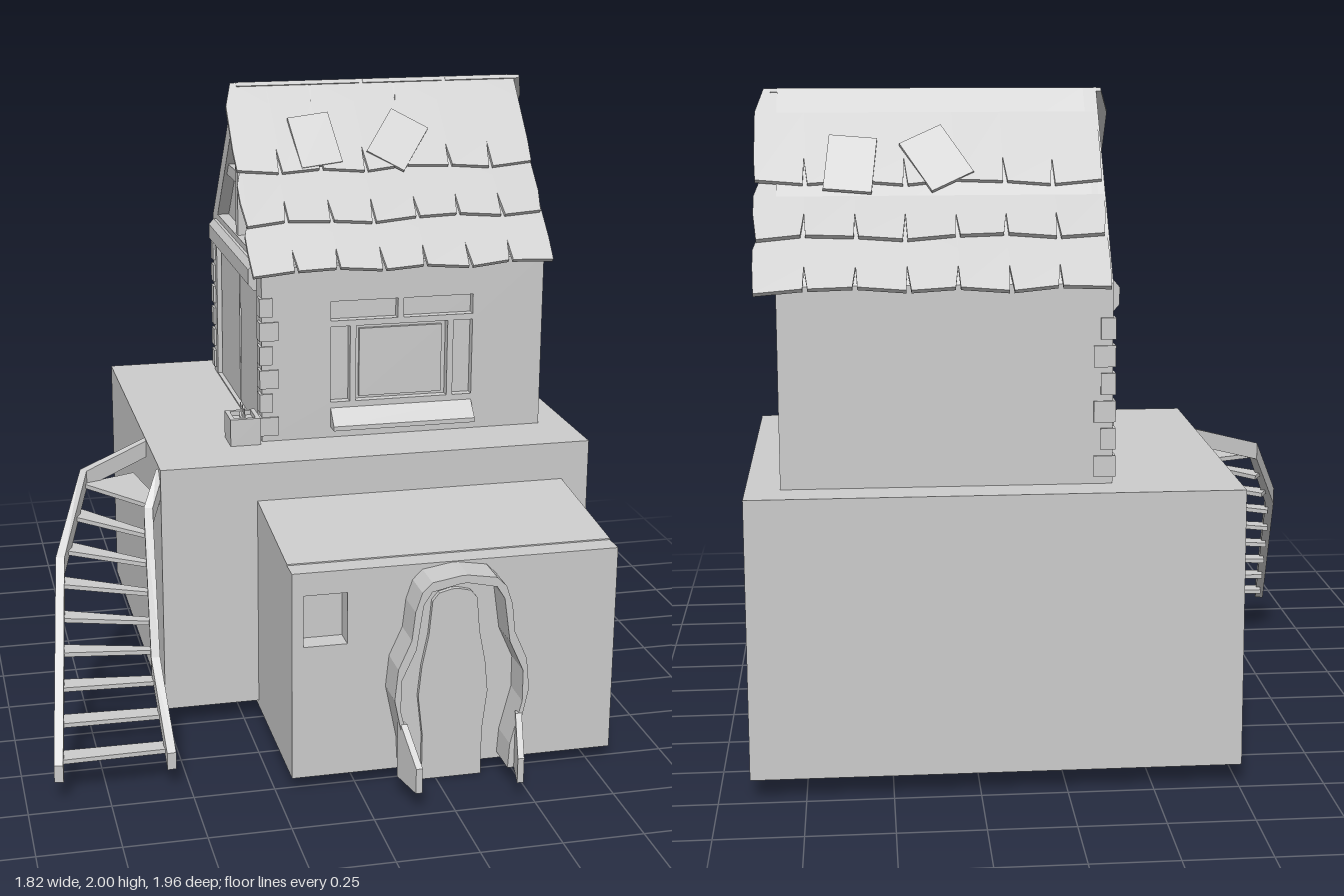
import * as THREE from 'three';

const mat = new THREE.MeshStandardMaterial({ color: 0xcccccc, flatShading: true, side: THREE.DoubleSide });

const poly = (pts) => new THREE.Shape(pts.map(([x, y]) => new THREE.Vector2(x, y)));
const rect = (x0, x1, y0, y1) => [[x0, y0], [x1, y0], [x1, y1], [x0, y1]];

function add(parent, name, geometry) {
  const mesh = new THREE.Mesh(geometry, mat);
  mesh.name = name;
  parent.add(mesh);
  return mesh;
}

// Box given by its limits
function box(parent, name, x0, x1, y0, y1, z0, z1) {
  const g = new THREE.BoxGeometry(x1 - x0, y1 - y0, z1 - z0);
  g.translate((x0 + x1) / 2, (y0 + y1) / 2, (z0 + z1) / 2);
  return add(parent, name, g);
}

// Slab from an outline in x, y, running from z0 to z1
function frontSlab(pts, z0, z1, holes = []) {
  const shape = poly(pts);
  holes.forEach((h) => shape.holes.push(poly(h)));
  return new THREE.ExtrudeGeometry(shape, { depth: z1 - z0, bevelEnabled: false }).translate(0, 0, z0);
}

// Slab from an outline in z, y, running from x0 to x1
function sideSlab(pts, x0, x1, holes = []) {
  return frontSlab(pts, 0, x1 - x0, holes).rotateY(-Math.PI / 2).translate(x1, 0, 0);
}

// Rectangular section swept along a path, kept upright
function railGeometry(path, width, height) {
  const pos = [], idx = [];
  path.forEach((p, i) => {
    const a = path[Math.max(0, i - 1)], b = path[Math.min(path.length - 1, i + 1)];
    const n = new THREE.Vector3(b.z - a.z, 0, a.x - b.x).normalize().multiplyScalar(width / 2);
    for (const [s, h] of [[1, 0], [1, -1], [-1, -1], [-1, 0]])
      pos.push(p.x + s * n.x, p.y + h * height, p.z + s * n.z);
    if (i) for (let k = 0; k < 4; k++) {
      const c = i * 4 + k, d = i * 4 + (k + 1) % 4;
      idx.push(c - 4, c, d, c - 4, d, d - 4);
    }
  });
  const e = pos.length / 3 - 4;
  idx.push(0, 1, 2, 0, 2, 3, e, e + 2, e + 1, e, e + 3, e + 2);
  const g = new THREE.BufferGeometry();
  g.setAttribute('position', new THREE.Float32BufferAttribute(pos, 3));
  g.setIndex(idx);
  g.computeVertexNormals();
  return g;
}

function buildBase(root) {
  const base = new THREE.Group();
  base.name = 'base';
  root.add(base);
  box(base, 'mainBlock', -0.51, 0.91, 0.06, 0.88, -0.98, 0.25);
  // Lower front room with a sloping top and a recessed window
  add(base, 'frontRoom', sideSlab([[-0.03, 0.04], [0.7, 0.04], [0.7, 0.712], [0.25, 0.755], [-0.03, 0.755]], -0.2, 0.82));
  add(base, 'frontRoomWall', frontSlab(rect(-0.2, 0.82, 0.04, 0.708), 0.7, 0.77, [rect(-0.165, -0.03, 0.47, 0.635)]));

  // Wavy door and its projecting arch
  const mirrored = (half) => [...half.map(([x, y]) => [0.3 - x, y]), ...half.slice().reverse().map(([x, y]) => [0.3 + x, y])];
  add(base, 'door', frontSlab(mirrored([[0.095, 0], [0.095, 0.15], [0.11, 0.28], [0.1, 0.38], [0.08, 0.48], [0.07, 0.59], [0.05, 0.615], [0.01, 0.625]]), 0.76, 0.785));
  const outer = [[0.17, 0.06], [0.175, 0.15], [0.21, 0.32], [0.2, 0.42], [0.16, 0.51], [0.15, 0.6], [0.13, 0.66], [0.1, 0.69], [0.01, 0.705]];
  const inner = [[0.15, 0.06], [0.155, 0.14], [0.19, 0.28], [0.19, 0.38], [0.145, 0.48], [0.125, 0.62], [0.1, 0.66], [0.01, 0.68]];
  add(base, 'doorArch', frontSlab([...mirrored(outer), ...mirrored(inner).reverse()], 0.76, 0.88));
  // Flared feet of the arch
  for (const side of [-1, 1]) {
    const g = sideSlab([[0.86, 0.06], [0.98, 0.06], [0.98, 0.14], [0.88, 0.24], [0.86, 0.24]], -0.01, 0.01);
    const p = g.attributes.position;
    for (let i = 0; i < p.count; i++) p.setX(i, 0.3 + side * (0.18 - (p.getZ(i) - 0.88) * 0.22) + p.getX(i));
    g.computeVertexNormals();
    add(base, 'archFoot', g);
  }
}

function buildHouse(root) {
  const house = new THREE.Group();
  house.name = 'house';
  root.add(house);
  add(house, 'houseBody', sideSlab([[-0.86, 0.88], [0, 0.88], [0, 1.495], [-0.413, 1.995], [-0.86, 1.46]], -0.1, 0.81));

  // Front wall with window openings
  const panes = [rect(0.09, 0.315, 1.275, 1.34), rect(0.335, 0.57, 1.275, 1.34), rect(0.09, 0.155, 1, 1.255), rect(0.505, 0.57, 1, 1.255), rect(0.175, 0.485, 1, 1.255)];
  add(house, 'frontWall', frontSlab(rect(-0.14, 0.81, 0.88, 1.46), 0, 0.03, panes));
  box(house, 'windowShutter', 0.19, 0.47, 1.01, 1.24, -0.01, 0.012);
  add(house, 'windowSill', sideSlab([[0.02, 0.915], [0.08, 0.915], [0.08, 0.93], [0.03, 0.98], [0.02, 0.98]], 0.09, 0.57));

  // Side wall with double door and open gable
  const doorway = rect(-0.79, -0.05, 0.885, 1.38);
  const gable = [[-0.76, 1.48], [-0.07, 1.48], [-0.415, 1.9]];
  add(house, 'sideWall', sideSlab([[-0.86, 0.88], [0, 0.88], [0, 1.495], [-0.413, 1.995], [-0.86, 1.46]], -0.14, -0.1, [doorway, gable]));
  for (const z of [-0.78, -0.41]) box(house, 'sideDoor', -0.125, -0.09, 0.885, 1.38, z, z + 0.35);
  box(house, 'gablePost', -0.135, -0.09, 1.47, 1.92, -0.435, -0.395);
  box(house, 'gableBeam', -0.13, -0.09, 1.65, 1.69, -0.62, -0.21);
  add(house, 'doorLintel', frontSlab([[-0.13, 1.37], [-0.15, 1.37], [-0.167, 1.39], [-0.167, 1.44], [-0.15, 1.46], [-0.13, 1.46]], -0.79, -0.05));

  // Corner stones
  for (let i = 0; i < 6; i++) {
    const y = 0.9 + i * 0.08, w = i % 2 ? 0.035 : 0.055;
    box(house, 'cornerStone', -0.148, -0.14 + w, y, y + 0.062, -0.01, 0.036);
    box(house, 'cornerStone', -0.148, -0.14 + w, y, y + 0.062, -0.866, -0.82);
  }

  // Planter beside the side door
  const planter = new THREE.Group();
  planter.name = 'planter';
  house.add(planter);
  const pot = rect(-0.25, -0.15, 0.88, 0.97);
  add(planter, 'planterSides', frontSlab(pot, -0.05, -0.035));
  add(planter, 'planterSides', frontSlab(pot, 0.045, 0.06));
  box(planter, 'planterSides', -0.25, -0.235, 0.88, 0.97, -0.035, 0.045);
  box(planter, 'planterSides', -0.165, -0.15, 0.88, 0.97, -0.035, 0.045);
  box(planter, 'planterSoil', -0.235, -0.165, 0.88, 0.955, -0.035, 0.045);
  for (let i = 0; i < 3; i++) {
    const sprig = add(planter, 'sprig', new THREE.ConeGeometry(0.008, 0.06, 4));
    sprig.position.set(-0.2, 0.98, -0.02 + i * 0.025);
    sprig.rotation.x = (i - 1) * 0.4;
  }
}

function buildRoof(root) {
  const roof = new THREE.Group();
  roof.name = 'roof';
  roof.position.set(0.3475, 1.995, -0.41);
  root.add(roof);
  const rows = [[0, 0.35, -0.002], [0.3, 0.545, -0.022], [0.49, 0.728, -0.022]];
  const wave = [0.008, -0.006, 0.004, -0.01, 0.006, 0, -0.012, 0.003];
  for (const turn of [0, Math.PI]) {
    const face = new THREE.Group();
    face.name = turn ? 'backSlope' : 'frontSlope';
    face.rotation.order = 'YXZ';
    face.rotation.set(-Math.atan2(0.49, 0.54), turn, 0);
    roof.add(face);
    // Overlapping rows of uneven shingles, split by tapered gaps
    rows.forEach(([s0, s1, lift], r) => {
      const row = new THREE.Group();
      row.name = 'shingleRow';
      row.position.set(0, -s0, lift);
      row.rotation.x = -Math.atan2(lift, s1 - s0) * -1;
      face.add(row);
      const len = s1 - s0, w = 1.01 / 7;
      for (let i = 0; i < 7; i++) {
        const x0 = -0.5275 + i * w, x1 = x0 + w, lean = i === 0 ? 0.025 : 0;
        const a = wave[(i + r * 3) % 8], b = wave[(i + r * 3 + 1) % 8], gap = 0.004 + 0.006 * ((i + r) % 2);
        const notch = r === 0 && (i === 2 || i === 4) ? 0.014 : 0;
        const pts = [[x0 + gap, -len + a], [x1 - gap, -len + b], [x1, -len + 0.085], [x1, -0.09], [x1, 0], [x0 + notch, 0], [x0, -0.09], [x0, -len + 0.085]];
        pts[5][0] += lean;
        add(row, 'shingle', frontSlab(pts, -0.014, 0));
      }
    });
    // Loose patch shingles
    for (const [x, s, spin] of turn ? [[0, 0.27, 0.5], [-0.25, 0.29, -0.1]] : [[-0.25, 0.24, 0.13], [0.03, 0.25, -0.6]]) {
      const patch = box(face, 'loosePatch', -0.07, 0.07, -0.095, 0.095, -0.006, 0.006);
      patch.position.set(x, -s, 0.003);
      patch.rotation.set(0.06, 0, spin);
    }
  }
}

function buildStairs(root) {
  const stairs = new THREE.Group();
  stairs.name = 'stairs';
  root.add(stairs);
  const path = (pts) => pts.map((p) => new THREE.Vector3(...p));
  const outer = path([[-0.9, 0.12, 0.69], [-0.83, 0.6, 0.21], [-0.725, 0.81, -0.01], [-0.5, 0.88, -0.09]]);
  const inner = path([[-0.555, 0.12, 0.68], [-0.57, 0.35, 0.48], [-0.555, 0.77, 0.28], [-0.505, 0.87, 0.21]]);
  for (const rail of [outer, inner]) add(stairs, 'stringer', railGeometry(rail, 0.028, 0.055));

  // Point of a stringer at a height
  const at = (rail, y) => {
    let i = 1;
    while (i < rail.length - 1 && rail[i].y < y) i++;
    const a = rail[i - 1], b = rail[i];
    return a.clone().lerp(b, (y - a.y) / (b.y - a.y));
  };
  // Fanned treads
  for (let i = 0; i < 9; i++) {
    const y = 0.115 + i * 0.081;
    const corners = [at(outer, y + 0.035), at(inner, y + 0.035), at(inner, y + 0.1), at(outer, y + 0.1)];
    const g = frontSlab(corners.map((c) => [c.x, -c.z]), -0.007, 0.007).rotateX(-Math.PI / 2).translate(0, y, 0);
    add(stairs, 'tread', g);
  }
}

export function createModel() {
  const model = new THREE.Group();
  model.name = 'hillHouse';
  buildBase(model);
  buildHouse(model);
  buildRoof(model);
  buildStairs(model);
  return model;
}
